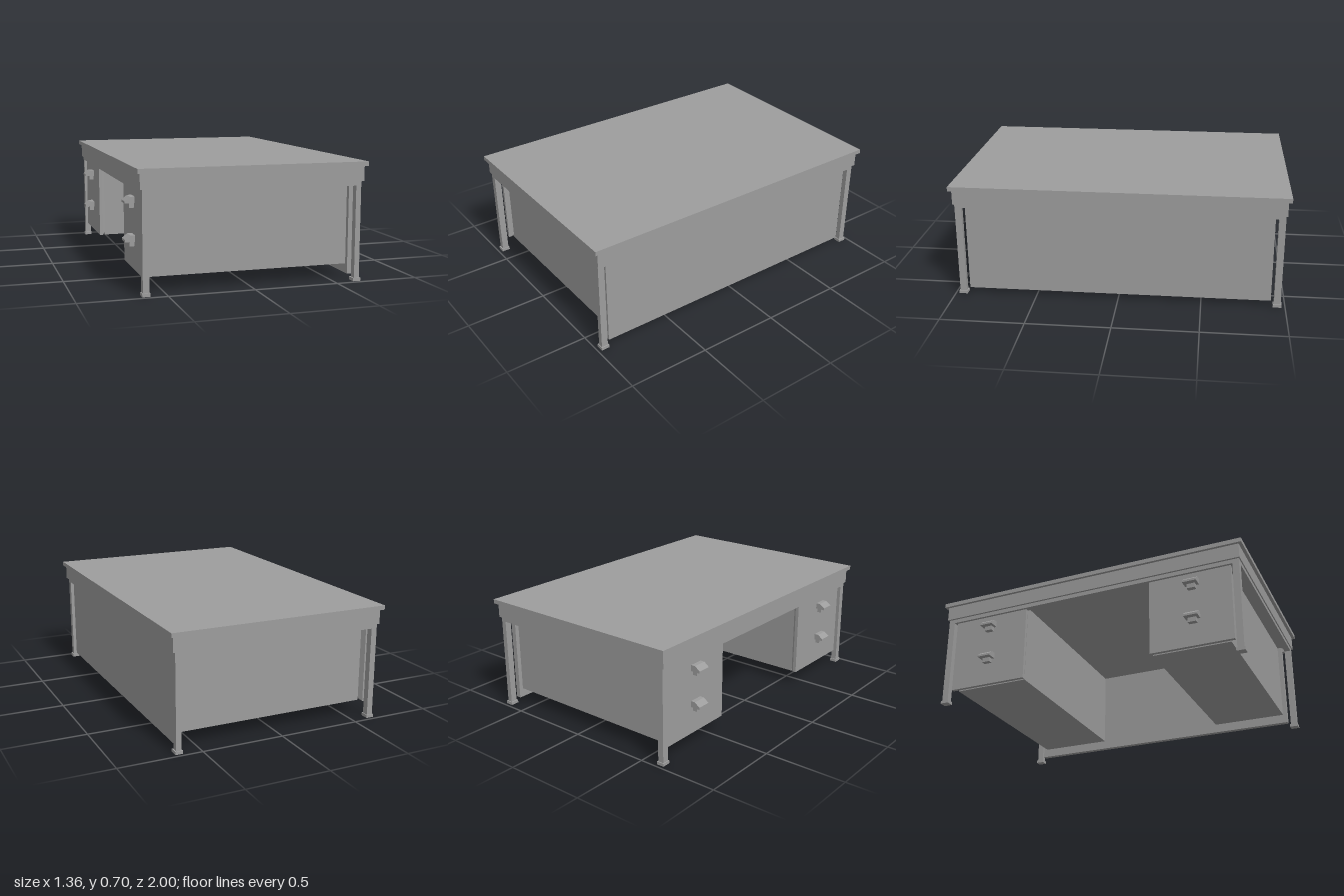
import * as THREE from 'three';

const material = new THREE.MeshStandardMaterial({ color: 0x9d9d9d, flatShading: true });

export function createModel() {
  const desk = new THREE.Group();
  desk.name = 'desk';

  const add = (name, geometry, parent = desk) => {
    const mesh = new THREE.Mesh(geometry, material);
    mesh.name = name;
    parent.add(mesh);
    return mesh;
  };
  // Box given by its low and high limits on each axis
  const box = (name, [x0, x1], [y0, y1], [z0, z1], parent) => {
    const mesh = add(name, new THREE.BoxGeometry(x1 - x0, y1 - y0, z1 - z0), parent);
    mesh.position.set((x0 + x1) / 2, (y0 + y1) / 2, (z0 + z1) / 2);
    return mesh;
  };

  // Top board and the apron below it
  box('tabletop', [-0.665, 0.679], [0.672, 0.698], [-1, 1]);
  box('apron', [-0.648, 0.663], [0.583, 0.672], [-0.98, 0.98]);

  // Frame of thin rails between the legs
  box('rightRail', [-0.636, -0.6], [0.558, 0.583], [-0.97, 0.97]);
  box('leftRail', [0.617, 0.648], [0.558, 0.583], [-0.97, 0.97]);
  for (const [name, z] of [['frontRail', 0.953], ['backRail', -0.953]])
    box(name, [-0.61, 0.625], [0.558, 0.583], [z - 0.02, z + 0.02]);

  // Legs on square feet
  for (const [x, half] of [[-0.618, 0.018], [0.6325, 0.0155]]) for (const z of [-0.953, 0.953]) {
    box('leg', [x - half, x + half], [0.018, 0.583], [z - 0.02, z + 0.02]);
    box('foot', [x - 0.023, x + 0.023], [0, 0.018], [z - 0.026, z + 0.026]);
  }

  // Long closing panel opposite the drawers
  box('modestyPanel', [0.6, 0.632], [0.032, 0.583], [-0.915, 0.915]);

  // Drawer pull: sloped hood over a narrow mount
  const hood = new THREE.Shape([
    [-0.62, 0], [-0.68, 0], [-0.68, 0.013], [-0.648, 0.037], [-0.62, 0.037],
  ].map(([x, y]) => new THREE.Vector2(x, y)));
  const hoodGeometry = new THREE.ExtrudeGeometry(hood, { depth: 0.084, bevelEnabled: false });
  hoodGeometry.translate(0, 0, -0.042);

  // Drawer front: its back edge slopes in to the narrower cabinet behind it
  const frontGeometry = side => {
    const geometry = new THREE.BoxGeometry(0.034, 0.47, 0.505, 2, 1, 1);
    const p = geometry.attributes.position;
    for (let i = 0; i < p.count; i++) {
      const x = p.getX(i);
      if (x > 0.01) {
        const z = p.getZ(i);
        p.setY(i, p.getY(i) * 0.925);
        p.setZ(i, z - Math.sign(z) * (z * side > 0 ? 0.03 : 0.006));
      } else if (x > -0.01) p.setX(i, 0.004);
    }
    return geometry;
  };

  // Two drawer pedestals with the kneehole between them
  for (const side of [1, -1]) {
    const pedestal = new THREE.Group();
    pedestal.name = side > 0 ? 'frontPedestal' : 'backPedestal';
    desk.add(pedestal);
    const span = [0.42, 0.889].map(z => z * side).sort((a, b) => a - b);
    box('cabinet', [-0.587, 0.6], [0.088, 0.583], span, pedestal);
    add('drawerFront', frontGeometry(side), pedestal).position.set(-0.604, 0.323, side * 0.6665);
    for (const y of [0.475, 0.255]) {
      const pull = new THREE.Group();
      pull.name = 'drawerPull';
      pull.position.set(0, y, side * 0.675 + 0.008);
      pedestal.add(pull);
      add('hood', hoodGeometry, pull);
      box('mount', [-0.65, -0.62], [-0.028, 0], [-0.025, 0.025], pull);
    }
  }

  return desk;
}
